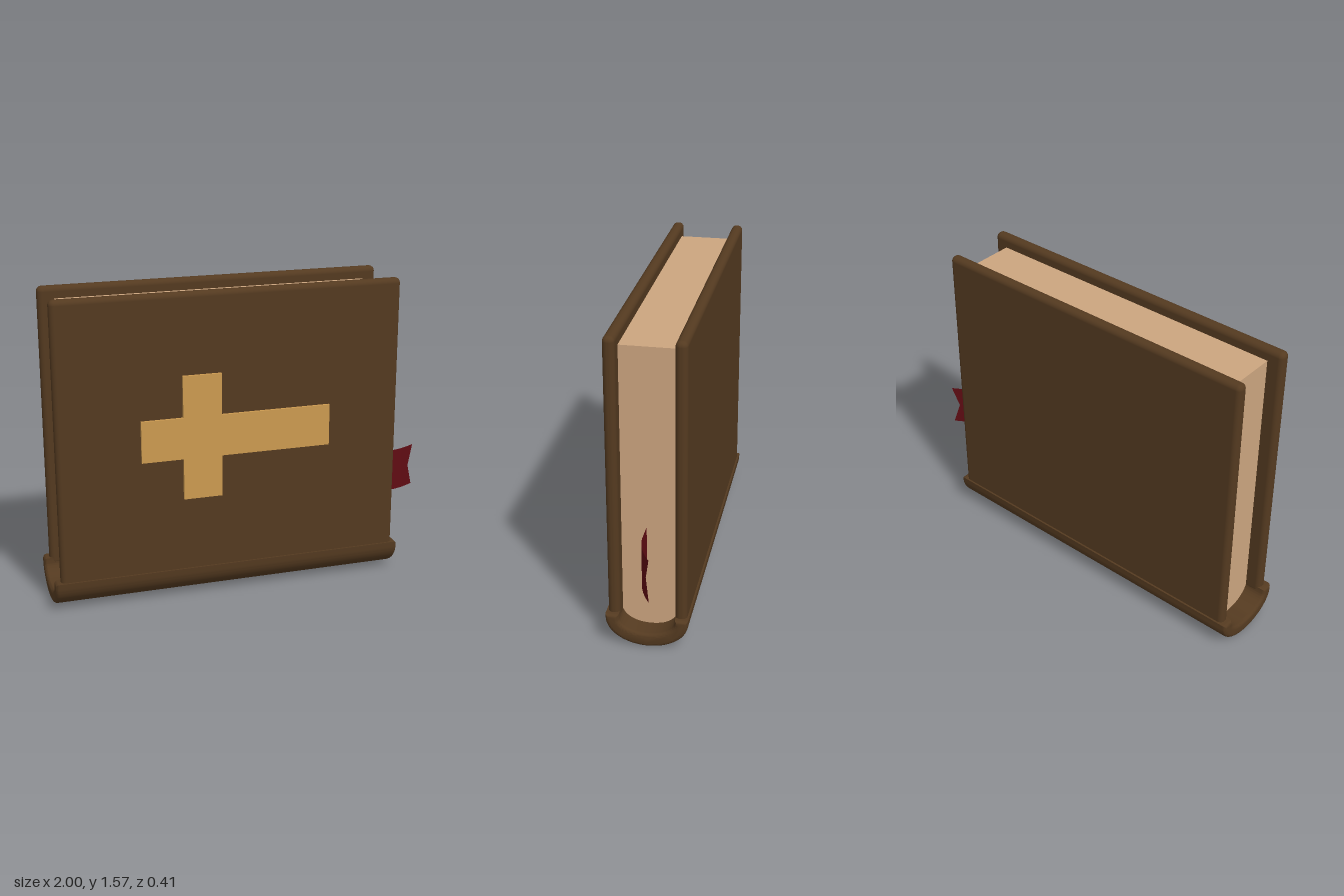
import * as THREE from 'three';
import { toCreasedNormals } from 'three/addons/utils/BufferGeometryUtils.js';
import { RoundedBoxGeometry } from 'three/addons/geometries/RoundedBoxGeometry.js';

const paint = (color, extra = {}) => new THREE.MeshStandardMaterial({ color, ...extra });

function part(name, geometry, material) {
  const mesh = new THREE.Mesh(geometry, material);
  mesh.name = name;
  return mesh;
}

// Extrudes a (z, y) section along x, starting at x0
function extrudeAlongX(shape, x0, x1, bevel = 0) {
  const geometry = new THREE.ExtrudeGeometry(shape, {
    depth: x1 - x0 - 2 * bevel, curveSegments: 32,
    bevelEnabled: bevel > 0, bevelSize: bevel, bevelThickness: bevel, bevelSegments: 5,
  });
  geometry.rotateY(Math.PI / 2).translate(x0 + bevel, 0, 0);
  return toCreasedNormals(geometry, 0.7);
}

export function createModel() {
  const book = new THREE.Group();
  book.name = 'book';
  const leather = paint(0x543a20);

  // Two hard covers with rounded edges
  for (const [name, side] of [['frontCover', 1], ['backCover', -1]]) {
    const cover = part(name, new RoundedBoxGeometry(1.755, 1.45, 0.057, 5, 0.026), leather);
    cover.position.set(-0.0925, 0.845, side * 0.1625);
    book.add(cover);
  }

  // U-shaped spine, closed along the bottom, with softened rims
  const spine = new THREE.Shape();
  spine.absellipse(0, 0.14, 0.18, 0.12, Math.PI, 2 * Math.PI, false);
  spine.absellipse(0, 0.14, 0.155, 0.09, 2 * Math.PI, Math.PI, true);
  spine.closePath();
  book.add(part('spine', extrudeAlongX(spine, -1, 0.815, 0.02), leather));

  // Page block, rounded where it meets the spine
  const pages = new THREE.Shape();
  pages.moveTo(0.137, 1.51);
  pages.lineTo(-0.137, 1.51);
  pages.absellipse(0, 0.16, 0.137, 0.092, Math.PI, 2 * Math.PI, false);
  pages.closePath();
  book.add(part('pages', extrudeAlongX(pages, -0.89, 0.71), paint(0xcca57f)));

  // Raised cross lying on its side on the front cover
  const cross = new THREE.Shape([
    [-0.555, 0.745], [-0.345, 0.745], [-0.345, 0.535], [-0.15, 0.535],
    [-0.15, 0.745], [0.412, 0.745], [0.412, 0.955], [-0.15, 0.955],
    [-0.15, 1.165], [-0.345, 1.165], [-0.345, 0.955], [-0.555, 0.955],
  ].map(([x, y]) => new THREE.Vector2(x, y)));
  const crossGeometry = new THREE.ExtrudeGeometry(cross, { depth: 0.025, bevelEnabled: false });
  crossGeometry.translate(0, 0, 0.18);
  book.add(part('coverCross', crossGeometry, paint(0xcc9a50)));

  // Bookmark ribbon curling backwards, with a notched end
  const ribbon = new THREE.PlaneGeometry(1, 2, 20, 2);
  const p = ribbon.attributes.position;
  for (let i = 0; i < p.count; i++) {
    const v = p.getY(i);
    const end = 1 - 0.032 * (1 - Math.abs(v));
    const x = THREE.MathUtils.lerp(0.68, end, p.getX(i) + 0.5);
    const t = Math.max(0, (x - 0.8) / 0.2);
    p.setXYZ(i, x, 0.49 + 0.112 * v, 0.013 - 0.067 * t * t);
  }
  ribbon.computeVertexNormals();
  book.add(part('bookmarkRibbon', ribbon, paint(0x600c13, { side: THREE.DoubleSide })));

  return book;
}
